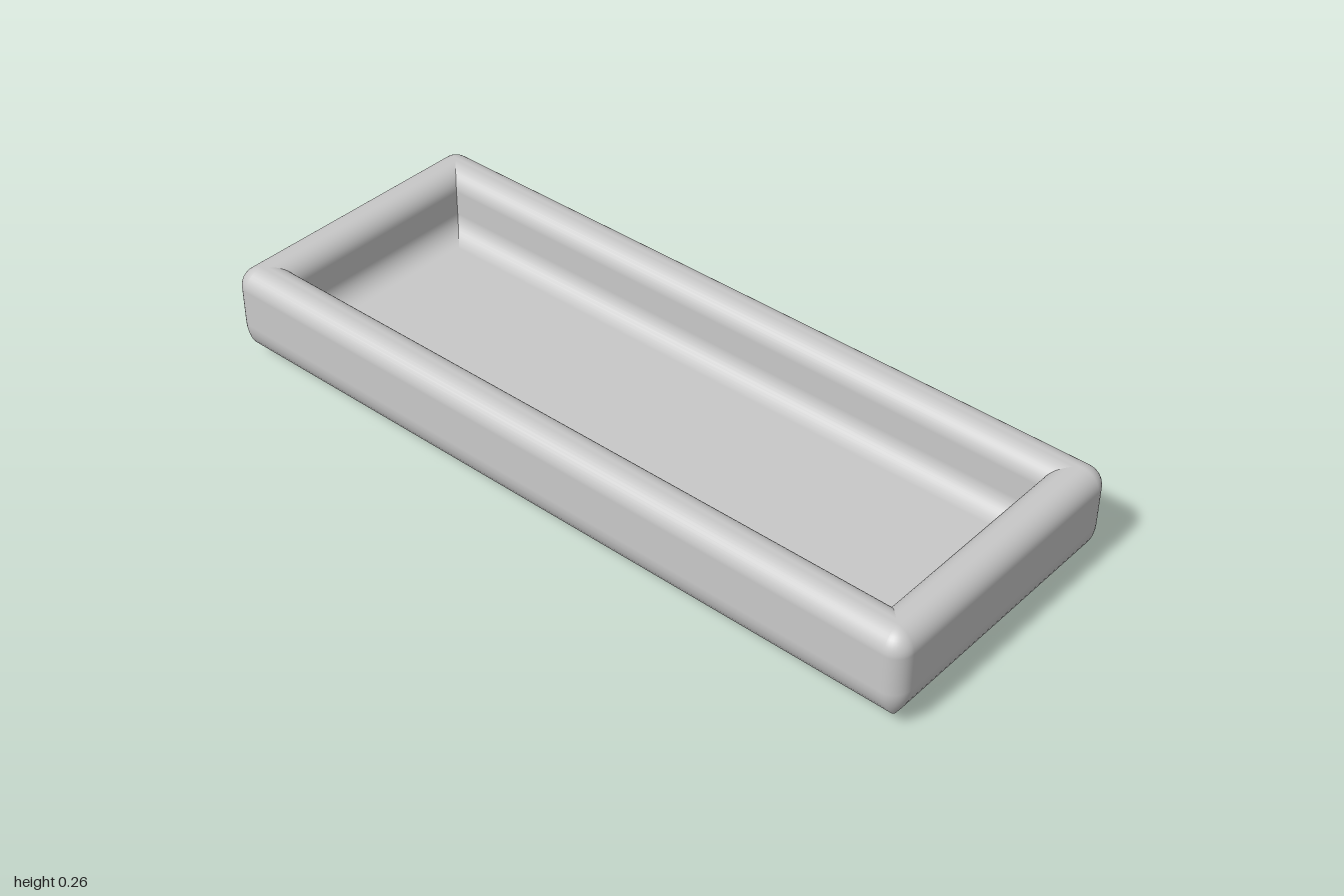
import * as THREE from 'three';

const HALF_X = 0.38, HALF_Z = 1, HEIGHT = 0.26, WALL = 0.11, FLOOR = 0.09;
const BASE_R = 0.11, RIM_R = 0.05, INNER_R = 0.055, CORNER_R = 0.045;
const STEPS = 10, CORNER_STEPS = 8;

// Wall cross-section from the centre of the base, over the rim, to the centre of the floor.
// Each point holds its inset from the outer wall, height, corner radius and normal (out, up).
function wallProfile() {
  const points = [];
  const add = (inset, y, r, out, up) => points.push({ inset, y, r: Math.max(r, 0), out, up });
  const fillet = (inset, y, radius, from, to, sign, cornerRadius) => {
    for (let i = 0; i <= STEPS; i++) {
      const a = THREE.MathUtils.degToRad(from + (to - from) * i / STEPS);
      const out = Math.cos(a), up = Math.sin(a);
      const d = inset - radius * out;
      add(d, y + radius * up, cornerRadius(d), sign * out, sign * up);
    }
  };
  const mitre = () => 0;
  add(HALF_X, 0, 0, 0, -1);
  fillet(BASE_R, BASE_R, BASE_R, -90, 0, 1, d => CORNER_R * (1 - d / 0.025)); // base edge
  fillet(RIM_R, HEIGHT - RIM_R, RIM_R, 0, 90, 1, d => CORNER_R * (1 - d / RIM_R)); // outer rim
  fillet(WALL - RIM_R, HEIGHT - RIM_R, RIM_R, 90, 180, 1, mitre); // inner rim
  fillet(WALL + INNER_R, FLOOR + INNER_R, INNER_R, 0, -90, -1, mitre); // floor edge
  add(HALF_X, FLOOR, 0, 0, 1);
  return points;
}

// Sweeps the cross-section round a rectangle; corners of zero radius become sharp mitres.
function sweepRectangle(profile) {
  const positions = [], normals = [], index = [];
  const count = 4 * (CORNER_STEPS + 1);
  for (const p of profile) {
    for (let corner = 0; corner < 4; corner++) {
      const sx = corner === 0 || corner === 3 ? 1 : -1, sz = corner < 2 ? 1 : -1;
      for (let k = 0; k <= CORNER_STEPS; k++) {
        const a = (corner + k / CORNER_STEPS) * Math.PI / 2;
        const c = Math.cos(a), s = Math.sin(a);
        positions.push(
          sx * (HALF_X - p.inset - p.r) + p.r * c,
          p.y,
          sz * (HALF_Z - p.inset - p.r) + p.r * s);
        normals.push(p.out * c, p.up, p.out * s);
      }
    }
  }
  for (let i = 0; i < profile.length - 1; i++) {
    for (let j = 0; j < count; j++) {
      const a = i * count + j, b = i * count + (j + 1) % count;
      index.push(a, a + count, b, a + count, b + count, b);
    }
  }
  const geometry = new THREE.BufferGeometry();
  geometry.setAttribute('position', new THREE.Float32BufferAttribute(positions, 3));
  geometry.setAttribute('normal', new THREE.Float32BufferAttribute(normals, 3));
  geometry.setIndex(index);
  return geometry;
}

export function createModel() {
  const group = new THREE.Group();
  group.name = 'tray';
  const grey = new THREE.MeshStandardMaterial({ color: 0xc8c8c8 });
  grey.name = 'light grey';
  const body = new THREE.Mesh(sweepRectangle(wallProfile()), grey);
  body.name = 'trayBody';
  group.add(body);
  return group;
}
